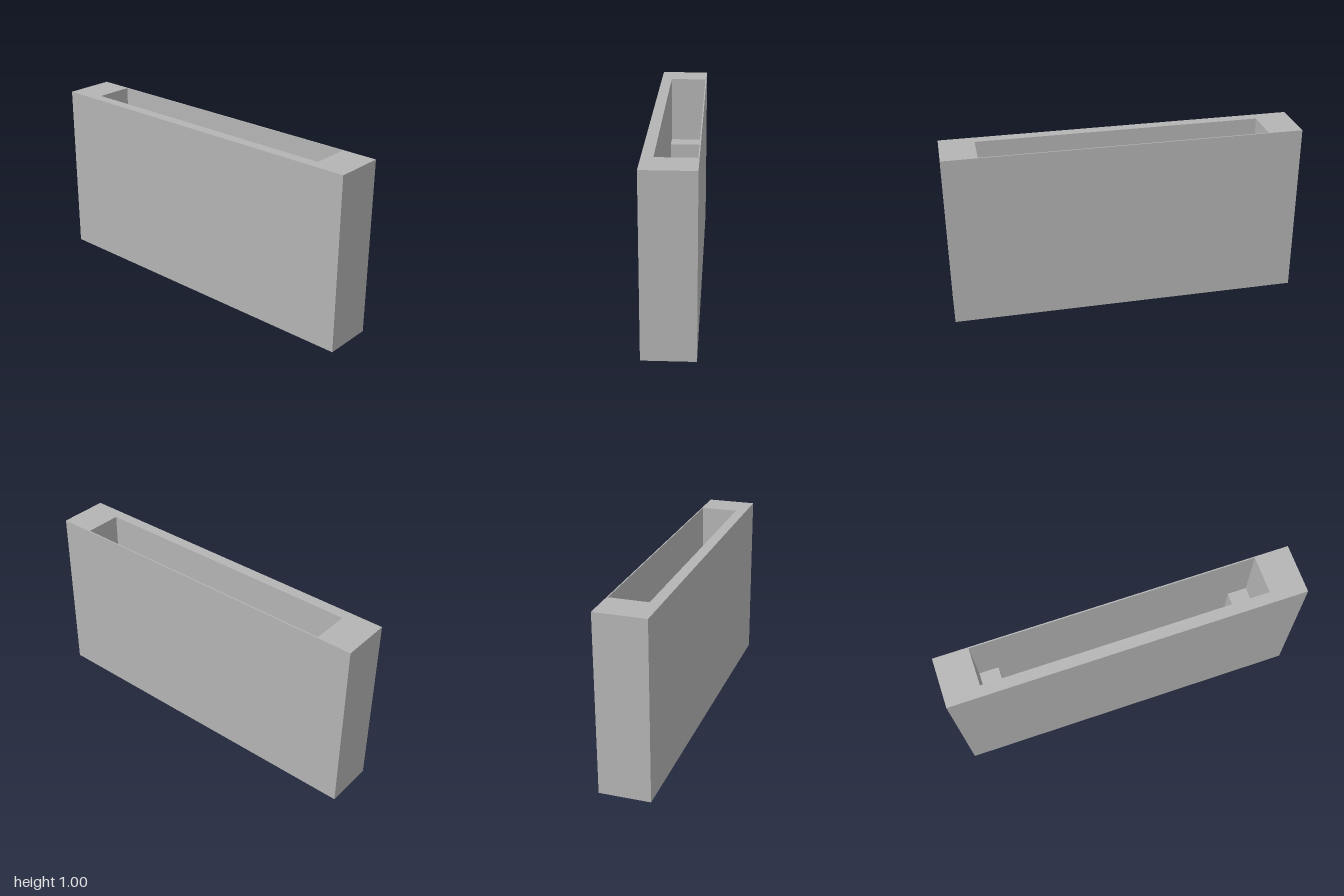
import * as THREE from 'three';

// Rectangular ring at height y, corners running counterclockwise from above
const ring = (x0, x1, z0, z1, y) => [[x0, y, z1], [x1, y, z1], [x1, y, z0], [x0, y, z0]];

// Joins successive rings with flat four-sided bands
function bands(name, rings, material) {
  const pos = [];
  for (let r = 0; r < rings.length - 1; r++) {
    const a = rings[r], b = rings[r + 1];
    for (let i = 0; i < 4; i++) {
      const j = (i + 1) % 4;
      pos.push(...a[i], ...a[j], ...b[j], ...a[i], ...b[j], ...b[i]);
    }
  }
  const geometry = new THREE.BufferGeometry();
  geometry.setAttribute('position', new THREE.Float32BufferAttribute(pos, 3));
  geometry.computeVertexNormals();
  const mesh = new THREE.Mesh(geometry, material);
  mesh.name = name;
  return mesh;
}

export function createModel() {
  const group = new THREE.Group();
  group.name = 'slottedHolder';
  const grey = new THREE.MeshStandardMaterial({ color: 0xb4b4b4 });
  grey.name = 'grey';

  const D = 0.142, ledgeY = 0.6, floorY = 0.115, chamferY = 0.056;
  const slot = (half, y) => ring(-half, half, -0.135, 0.08, y);
  const shaft = (y) => ring(0.502, 0.625, -0.09, 0.035, y);
  const flare = ring(0.447, 0.683, -0.138, 0.087, 0);
  const rim = slot(0.804, 1), floor = slot(0.692, floorY);

  // Block: underside around the hole, four sides, top rim around the slot
  group.add(bands('body', [flare, ring(-1, 1, -D, D, 0), ring(-1, 1, -D, D, 1), rim], grey));
  // Slot: wide upper part, ledges at both ends, narrower lower part
  group.add(bands('slot', [rim, slot(0.804, ledgeY), slot(0.692, ledgeY), floor], grey));
  // Slot floor with a square shaft that flares out underneath
  group.add(bands('floorHole', [floor, shaft(floorY), shaft(chamferY), flare], grey));

  return group;
}
